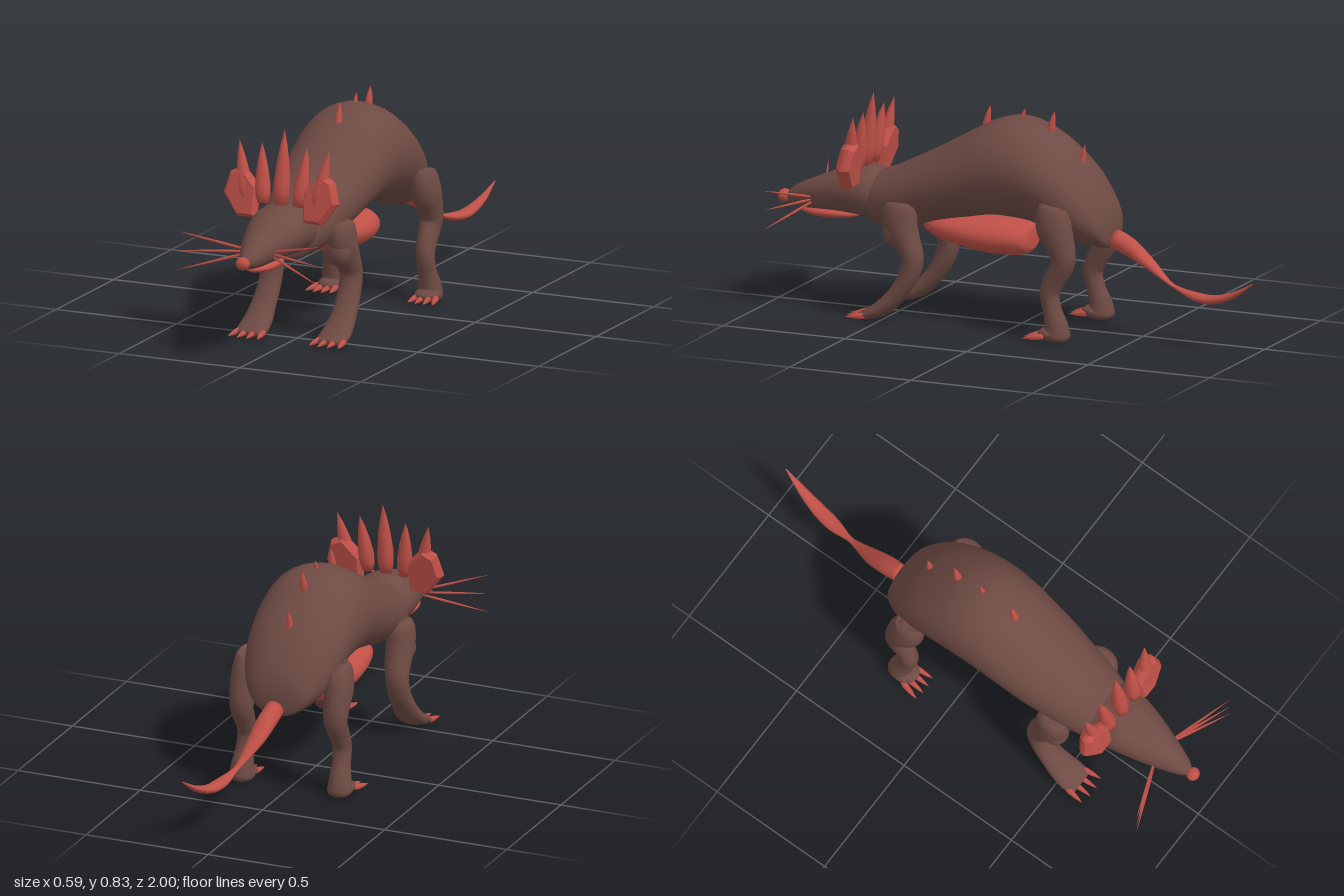
import * as THREE from 'three';

const hide = new THREE.MeshStandardMaterial({ color: 0x6e4a43 });
hide.name = 'brownHide';
const red = new THREE.MeshStandardMaterial({ color: 0xbf5047 });
red.name = 'redAccent';

const X = new THREE.Vector3(1, 0, 0);

function addMesh(parent, name, geometry, material) {
  const mesh = new THREE.Mesh(geometry, material);
  mesh.name = name;
  parent.add(mesh);
  return mesh;
}

// Smooth tube through sections [x, y, z, halfWidth, halfHeight], capped at both ends.
// With upright set, every ring stays in a vertical plane facing z.
function loft(sections, { upright = false, sides = 24, steps = 4 } = {}) {
  const path = new THREE.CatmullRomCurve3(sections.map(s => new THREE.Vector3(s[0], s[1], s[2])), false, 'catmullrom');
  const sizes = new THREE.CatmullRomCurve3(sections.map(s => new THREE.Vector3(s[3], s[4], 0)), false, 'catmullrom');
  const rings = (sections.length - 1) * steps;
  const pos = [], index = [];
  for (let i = 0; i <= rings; i++) {
    const t = i / rings;
    const c = path.getPoint(t), r = sizes.getPoint(t);
    const tangent = upright ? new THREE.Vector3(0, 0, 1) : path.getTangent(t);
    const v = new THREE.Vector3().crossVectors(tangent, X).normalize();
    const u = new THREE.Vector3().crossVectors(v, tangent).normalize();
    for (let j = 0; j < sides; j++) {
      const a = (j / sides) * Math.PI * 2;
      const p = c.clone()
        .addScaledVector(u, Math.max(r.x, 0.001) * Math.cos(a))
        .addScaledVector(v, Math.max(r.y, 0.001) * Math.sin(a));
      pos.push(p.x, p.y, p.z);
      if (i < rings) {
        const k = (j + 1) % sides, n = i * sides;
        index.push(n + j, n + k, n + sides + j, n + k, n + sides + k, n + sides + j);
      }
    }
  }
  const start = pos.length / 3, last = rings * sides;
  for (const t of [0, 1]) pos.push(...path.getPoint(t).toArray());
  for (let j = 0; j < sides; j++) {
    const k = (j + 1) % sides;
    index.push(start, k, j, start + 1, last + j, last + k);
  }
  const g = new THREE.BufferGeometry();
  g.setAttribute('position', new THREE.Float32BufferAttribute(pos, 3));
  g.setIndex(index);
  g.computeVertexNormals();
  return g;
}

// Tapered spindle from base to tip
function spike(parent, name, base, tip, radius, sides = 8) {
  const a = new THREE.Vector3(...base), dir = new THREE.Vector3(...tip).sub(a);
  const h = dir.length();
  const profile = [[0, 0], [0.72, 0.01], [0.95, 0.15], [1, 0.3], [0.75, 0.58], [0.42, 0.8], [0, 1]]
    .map(([r, y]) => new THREE.Vector2(r * radius, y * h));
  const m = addMesh(parent, name, new THREE.LatheGeometry(profile, sides), red);
  m.position.copy(a);
  m.quaternion.setFromUnitVectors(new THREE.Vector3(0, 1, 0), dir.normalize());
}

function ball(parent, name, mat, p, r) {
  const m = addMesh(parent, name, new THREE.SphereGeometry(1, 20, 14), mat);
  m.position.set(...p);
  m.scale.set(...r);
}

export function createModel() {
  const model = new THREE.Group();
  model.name = 'spinyRodent';

  // Arched body
  addMesh(model, 'body', loft([
    [0, 0.39, -0.382, 0.045, 0.04], [0, 0.41, -0.37, 0.1, 0.075], [0, 0.44, -0.34, 0.135, 0.105],
    [0, 0.485, -0.28, 0.17, 0.145], [0, 0.54, -0.2, 0.19, 0.165], [0, 0.59, -0.1, 0.2, 0.182],
    [0, 0.61, 0, 0.202, 0.192], [0, 0.6, 0.1, 0.198, 0.182], [0, 0.565, 0.2, 0.19, 0.165],
    [0, 0.525, 0.3, 0.18, 0.148], [0, 0.485, 0.4, 0.163, 0.135], [0, 0.45, 0.5, 0.145, 0.12],
    [0, 0.435, 0.575, 0.122, 0.105], [0, 0.435, 0.585, 0.1, 0.085],
  ], { upright: true, sides: 32 }), hide);

  // Pointed head with jaw and nose
  addMesh(model, 'head', loft([
    [0, 0.45, 0.55, 0.11, 0.09], [0, 0.455, 0.61, 0.124, 0.098], [0, 0.455, 0.67, 0.119, 0.094],
    [0, 0.445, 0.75, 0.1, 0.08], [0, 0.425, 0.84, 0.071, 0.063], [0, 0.41, 0.91, 0.045, 0.045],
    [0, 0.402, 0.95, 0.024, 0.025], [0, 0.4, 0.962, 0.006, 0.006],
  ], { upright: true }), hide);
  ball(model, 'lowerJaw', red, [0, 0.358, 0.785], [0.058, 0.023, 0.12]);
  ball(model, 'nose', red, [0, 0.4, 0.975], [0.027, 0.025, 0.025]);

  // Soft belly
  addMesh(model, 'belly', loft([
    [0, 0.335, -0.048, 0.06, 0.035], [0, 0.335, -0.03, 0.09, 0.057], [0, 0.335, 0.03, 0.108, 0.067],
    [0, 0.337, 0.12, 0.113, 0.069], [0, 0.345, 0.22, 0.11, 0.063], [0, 0.355, 0.32, 0.09, 0.05],
    [0, 0.36, 0.38, 0.05, 0.03],
  ], { upright: true }), red);

  // Twisting ribbon-like tail
  addMesh(model, 'tail', loft([
    [0, 0.37, -0.38, 0.034, 0.038], [0.005, 0.34, -0.45, 0.038, 0.034], [0.015, 0.29, -0.53, 0.032, 0.021],
    [0.033, 0.237, -0.61, 0.016, 0.008], [0.043, 0.214, -0.66, 0.012, 0.008], [0.058, 0.194, -0.74, 0.027, 0.016],
    [0.073, 0.192, -0.82, 0.027, 0.017], [0.09, 0.222, -0.91, 0.018, 0.012], [0.106, 0.277, -0.998, 0.002, 0.002],
  ], { sides: 16 }), red);

  // Short spines along the back
  for (const [z, y, tipY, r] of [[0.15, 0.73, 0.832, 0.016], [0.005, 0.775, 0.835, 0.01],
    [-0.115, 0.74, 0.834, 0.016], [-0.24, 0.61, 0.718, 0.016]]) {
    spike(model, 'backSpine', [0, y, z], [0, tipY, z - 0.02], r);
  }

  // Crest spikes above the neck
  for (const [x, tipX, tipY, r] of [[0, 0, 0.835, 0.033], [0.073, 0.094, 0.776, 0.031], [0.143, 0.187, 0.776, 0.03]]) {
    for (const s of x ? [1, -1] : [1]) {
      spike(model, 'crestSpike', [s * x, 0.55, 0.645], [s * tipX, tipY, 0.61], r);
    }
  }

  for (const s of [1, -1]) {
    const side = s > 0 ? 'left' : 'right';

    // Angular ear plate
    const shape = new THREE.Shape([[0.11, 0.505], [0.168, 0.504], [0.222, 0.578], [0.203, 0.648],
      [0.165, 0.668], [0.105, 0.605]].map(([x, y]) => new THREE.Vector2(s * x, y - 0.5)));
    const ear = addMesh(model, side + 'Ear', new THREE.ExtrudeGeometry(shape,
      { depth: 0.015, bevelEnabled: true, bevelThickness: 0.02, bevelSize: 0.013, bevelSegments: 1 }), red);
    ear.position.set(0, 0.5, 0.642);
    ear.rotation.x = -0.16;

    // Whiskers
    for (const dy of [-1, 0, 1]) {
      spike(model, side + 'Whisker', [s * 0.055, 0.41 + dy * 0.008, 0.835],
        [s * 0.297, 0.409 + dy * 0.076, 0.93], 0.0055, 6);
    }

    // Front leg
    const front = new THREE.Group();
    front.name = side + 'FrontLeg';
    addMesh(front, 'shoulderAndLeg', loft([
      [s * 0.145, 0.455, 0.435, 0.03, 0.04], [s * 0.15, 0.435, 0.435, 0.05, 0.064],
      [s * 0.154, 0.375, 0.43, 0.054, 0.068], [s * 0.157, 0.31, 0.4, 0.051, 0.052],
      [s * 0.163, 0.25, 0.375, 0.045, 0.042], [s * 0.165, 0.18, 0.392, 0.045, 0.038],
      [s * 0.167, 0.11, 0.437, 0.049, 0.034], [s * 0.167, 0.055, 0.492, 0.058, 0.032],
      [s * 0.167, 0.028, 0.545, 0.062, 0.022], [s * 0.167, 0.02, 0.58, 0.045, 0.012],
    ], { sides: 20 }), hide);
    ball(front, 'elbow', hide, [s * 0.152, 0.345, 0.455], [0.05, 0.06, 0.045]);
    for (const k of [-1.5, -0.5, 0.5, 1.5]) {
      spike(front, 'claw', [s * (0.167 + k * 0.032), 0.025, 0.54],
        [s * (0.167 + k * 0.04), 0.016, 0.645 - Math.abs(k) * 0.012], 0.012);
    }
    model.add(front);

    // Hind leg
    const hind = new THREE.Group();
    hind.name = side + 'HindLeg';
    addMesh(hind, 'thighAndLeg', loft([
      [s * 0.182, 0.512, -0.205, 0.025, 0.035], [s * 0.187, 0.495, -0.205, 0.045, 0.06],
      [s * 0.19, 0.43, -0.22, 0.054, 0.07], [s * 0.192, 0.365, -0.247, 0.05, 0.055],
      [s * 0.192, 0.305, -0.258, 0.045, 0.045], [s * 0.193, 0.24, -0.225, 0.038, 0.042],
      [s * 0.195, 0.185, -0.203, 0.036, 0.038], [s * 0.197, 0.12, -0.215, 0.036, 0.036],
      [s * 0.2, 0.06, -0.233, 0.043, 0.045], [s * 0.2, 0.022, -0.235, 0.048, 0.052],
      [s * 0.2, 0.006, -0.235, 0.038, 0.04],
    ], { sides: 20 }), hide);
    ball(hind, 'foot', hide, [s * 0.2, 0.03, -0.215], [0.05, 0.026, 0.055]);
    for (const k of [-1.5, -0.5, 0.5, 1.5]) {
      spike(hind, 'claw', [s * (0.205 + k * 0.025), 0.025, -0.2],
        [s * (0.212 + k * 0.034), 0.016, -0.105 - Math.abs(k) * 0.008], 0.012);
    }
    model.add(hind);
  }
  return model;
}
